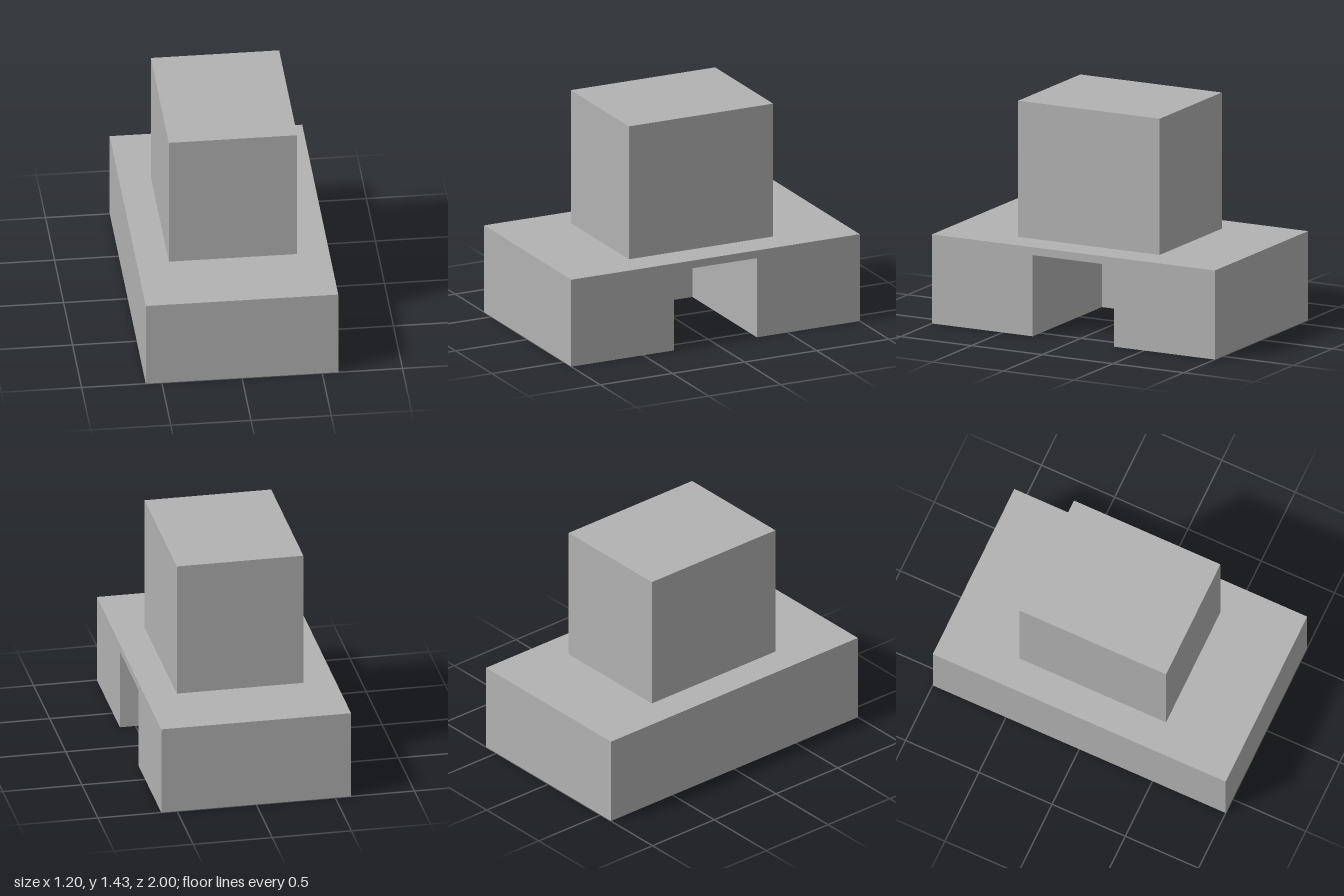
import * as THREE from 'three';

export function createModel() {
  const group = new THREE.Group();
  const grey = new THREE.MeshStandardMaterial({ color: 0xb2b2b2 });
  grey.name = 'plain grey';

  const baseTop = 0.567, notchTop = 0.517, top = 1.434;
  const halfX = 0.6, halfZ = 1, notchHalfZ = 0.287, notchEndX = -0.29;

  function add(name, geometry, y = 0) {
    const mesh = new THREE.Mesh(geometry, grey);
    mesh.name = name;
    mesh.position.y = y;
    group.add(mesh);
  }

  // U-shaped lower base, with the recess open towards +x
  const outline = new THREE.Shape([
    [-halfX, -halfZ], [halfX, -halfZ], [halfX, -notchHalfZ], [notchEndX, -notchHalfZ],
    [notchEndX, notchHalfZ], [halfX, notchHalfZ], [halfX, halfZ], [-halfX, halfZ],
  ].map(([x, z]) => new THREE.Vector2(x, z)));
  const lower = new THREE.ExtrudeGeometry(outline, { depth: notchTop, bevelEnabled: false });
  lower.rotateX(-Math.PI / 2);
  add('recessedBase', lower);

  // Thin slab roofing the recess
  const slab = baseTop - notchTop;
  add('baseTopSlab', new THREE.BoxGeometry(2 * halfX, slab, 2 * halfZ), notchTop + slab / 2);

  // Block standing on the base
  const height = top - baseTop;
  add('upperBlock', new THREE.BoxGeometry(0.8, height, 1), baseTop + height / 2);

  return group;
}
